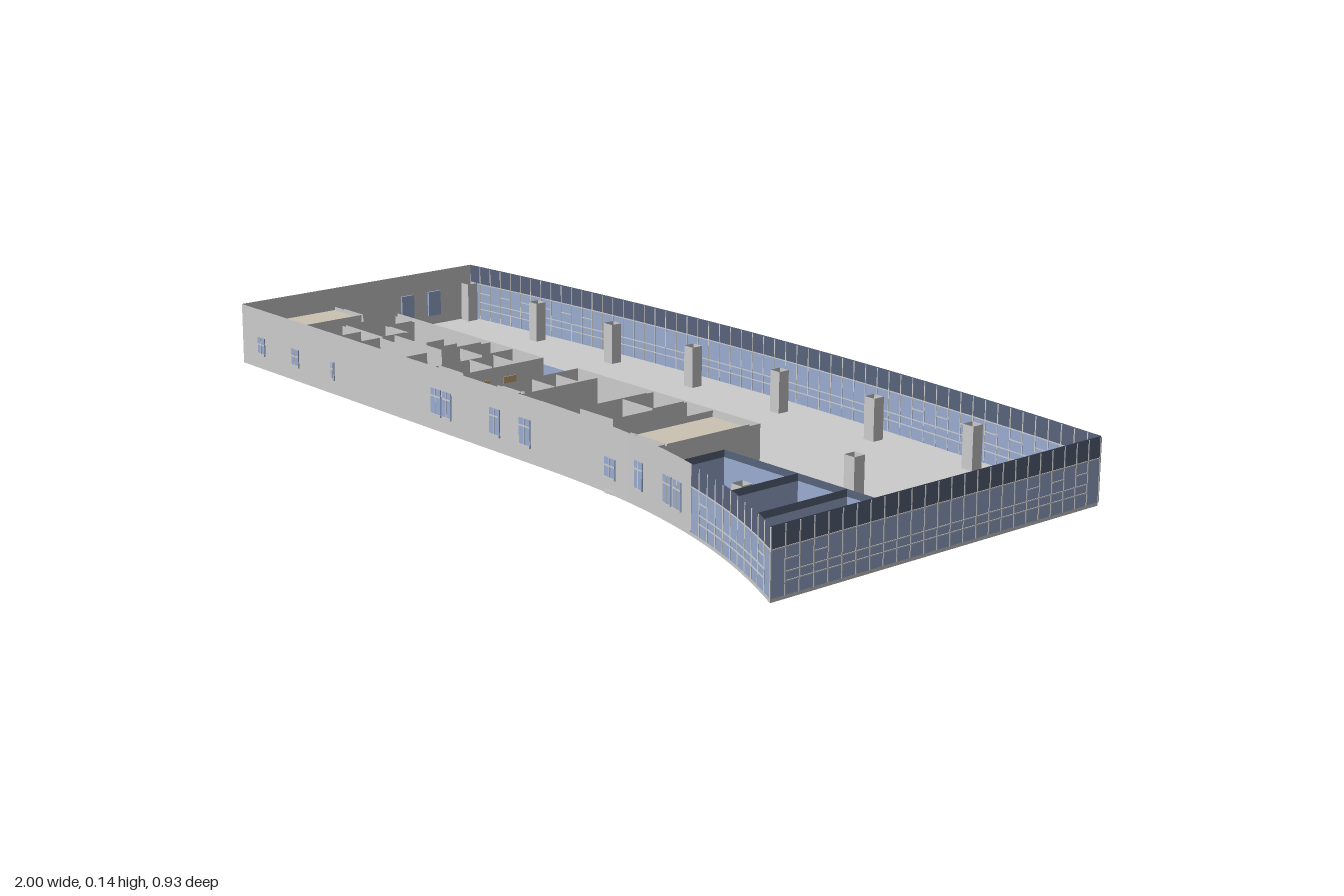
import * as THREE from 'three';
import { mergeGeometries } from 'three/addons/utils/BufferGeometryUtils.js';

const mat = (color) => new THREE.MeshStandardMaterial({ color, side: THREE.DoubleSide });
const GREY = mat(0xcccccc), GLASS = mat(0x99accf), DARK = mat(0x58637b);
const TAN = mat(0xcbc2b2), PALE = mat(0xeee8e8), WOOD = mat(0xc9a878);
const H = 0.14, INNER = 0.1, FLOOR = 0.007, BAND = 0.096;

// plan curves of the two long sides
const backZ = (x) => -0.47 + 0.056 * x * x;
const frontZ = (x) => 0.25 + 0.205 * Math.pow(Math.max(0, (x - 0.1) / 0.9), 2.3);
const along = (x0, x1, n, f) =>
  Array.from({ length: n + 1 }, (_, i) => x0 + (x1 - x0) * i / n).map((x) => [x, f(x)]);

export function createModel() {
  const root = new THREE.Group();
  const add = (name, geo, material) => {
    const m = new THREE.Mesh(geo, material);
    m.name = name;
    root.add(m);
    return m;
  };
  const box = (x0, x1, y0, y1, z0, z1) =>
    new THREE.BoxGeometry(x1 - x0, y1 - y0, z1 - z0).translate((x0 + x1) / 2, (y0 + y1) / 2, (z0 + z1) / 2);

  // upright sheet following a plan path
  const ribbon = (pts, y0, y1) => {
    const p = [];
    for (let i = 0; i + 1 < pts.length; i++) {
      const [ax, az] = pts[i], [bx, bz] = pts[i + 1];
      p.push(ax, y0, az, bx, y0, bz, bx, y1, bz, ax, y0, az, bx, y1, bz, ax, y1, az);
    }
    const g = new THREE.BufferGeometry();
    g.setAttribute('position', new THREE.Float32BufferAttribute(p, 3));
    g.computeVertexNormals();
    return g;
  };
  const wall = (name, pts, y0, y1, m = GREY) => add(name, ribbon(pts, y0, y1), m);

  // bar lying along one plan segment
  const bar = (a, b, y, h, d) => {
    const dx = b[0] - a[0], dz = b[1] - a[1];
    return new THREE.BoxGeometry(Math.hypot(dx, dz), h, d)
      .rotateY(-Math.atan2(dz, dx)).translate((a[0] + b[0]) / 2, y, (a[1] + b[1]) / 2);
  };

  // horizontal slab from a plan outline
  const slab = (name, pts, y, h, m, holes = []) => {
    const shape = new THREE.Shape(pts.map(([x, z]) => new THREE.Vector2(x, -z)));
    for (const [x, z, r] of holes) {
      shape.holes.push(new THREE.Path([[-r, -r], [-r, r], [r, r], [r, -r]]
        .map(([a, b]) => new THREE.Vector2(x + a, -z + b))));
    }
    const g = new THREE.ExtrudeGeometry(shape, { depth: h, bevelEnabled: false });
    return add(name, g.rotateX(-Math.PI / 2).translate(0, y, 0), m);
  };

  // hollow columns, open at the top
  const cols = [-0.98, -0.71, -0.43, -0.15, 0.13, 0.415, 0.69, 0.975].map((x) => [x, -0.395, 0.014]);
  for (const [x, z] of [[0.69, -0.06], [0.975, -0.06], [0.69, 0.235], [0.975, 0.235], [0.975, 0.415]]) {
    cols.push([x, z, 0.014]);
  }
  for (const [x, z, r] of cols) {
    wall('column', [[x - r, z - r], [x + r, z - r], [x + r, z + r], [x - r, z + r], [x - r, z - r]], 0, INNER);
  }

  // open-plan floor
  slab('mainFloor', [...along(-1, 1, 36, backZ), ...along(1, 0.415, 16, frontZ), [0.415, -0.07], [-1, -0.07]],
    0, FLOOR, GREY, cols);

  // glazed facade: glass, dark top band, mullions and window rails
  const facade = (name, pts) => {
    wall(name + 'Glass', pts, FLOOR, BAND, GLASS);
    wall(name + 'TopBand', pts, BAND, H, DARK);
    const frame = [];
    const n = pts.length - 1;
    pts.forEach(([x, z], i) => {
      frame.push(box(x - 0.0012, x + 0.0012, FLOOR, H - 0.002, z - 0.0012, z + 0.0012));
      if (i === n) return;
      const next = pts[i + 1];
      frame.push(bar(pts[i], next, BAND, 0.002, 0.003));
      if (i > 0 && i < n - 1) {
        frame.push(bar(pts[i], next, 0.033, 0.002, 0.003), bar(pts[i], next, 0.05, 0.002, 0.003));
      }
      if (i % 2 && (i < n * 0.2 || i > n * 0.7)) frame.push(bar(pts[i], next, 0.073, 0.002, 0.003));
    });
    add(name + 'Frame', mergeGeometries(frame), GREY);
  };
  facade('backFacade', along(-1, 1, 56, backZ));
  facade('sideFacade', Array.from({ length: 26 }, (_, i) => [1, 0.455 - i * (0.869 / 25)]));
  facade('frontFacade', along(0.635, 1, 11, frontZ));

  // solid outer walls
  wall('leftWall', [[-1, backZ(-1)], [-1, 0.25]], 0, H);
  wall('frontWall', [[-1, 0.25], ...along(0.1, 0.635, 16, frontZ)], 0, H);
  wall('frontWallLining', [[-0.99, 0.236], [0.41, 0.236]], 0, INNER);
  for (const z of [-0.3, -0.22]) {
    add('leftWindow', box(-1.0015, -0.995, 0.03, 0.09, z - 0.018, z + 0.018), GLASS);
  }

  // front windows: x, width, bottom, top
  const windows = [[-0.92, 0.028, 0.036, 0.074], [-0.78, 0.028, 0.036, 0.074], [-0.63, 0.012, 0.036, 0.074],
    [-0.243, 0.035, 0.036, 0.092], [-0.205, 0.03, 0.036, 0.092], [-0.04, 0.034, 0.036, 0.092],
    [0.06, 0.036, 0.036, 0.092], [0.34, 0.036, 0.034, 0.074], [0.44, 0.028, 0.036, 0.092],
    [0.545, 0.03, 0.036, 0.092], [0.583, 0.03, 0.036, 0.092]];
  for (const [x, w, y0, y1] of windows) {
    const a = [x - w / 2, frontZ(x - w / 2)], b = [x + w / 2, frontZ(x + w / 2)];
    add('frontWindow', bar(a, b, (y0 + y1) / 2, y1 - y0, 0.005), GLASS);
    const parts = [bar(a, b, y0, 0.002, 0.008), bar(a, b, y1 - 0.016, 0.003, 0.007)];
    parts.push(box(x - 0.001, x + 0.001, y0, y1, frontZ(x) - 0.0035, frontZ(x) + 0.0035));
    add('frontWindowFrame', mergeGeometries(parts), GREY);
    if (x < 0.41) add('windowSill', box(a[0], b[0], y0 - 0.004, y0, 0.234, frontZ(x) + 0.004), GREY);
  }

  // core enclosure facing the open plan
  wall('coreWall', [[-0.83, -0.07], [-0.28, -0.07]], 0, INNER);
  wall('coreWall', [[-0.16, -0.07], [0.415, -0.07], [0.415, frontZ(0.415)]], 0, INNER);
  wall('lobbyGlass', [[-0.28, -0.07], [-0.16, -0.07]], FLOOR, 0.085, GLASS);

  // rooms of the core: floor outline plus surrounding walls, skipping the listed sides
  const rect = (x0, x1, z0, z1) => [[x0, z0], [x1, z0], [x1, z1], [x0, z1]];
  const room = (name, pts, open = [], m = GREY) => {
    slab(name + 'Floor', pts, 0, FLOOR, m);
    pts.forEach((p, i) => {
      if (!open.includes(i)) wall(name + 'Wall', [p, pts[(i + 1) % pts.length]], 0, INNER);
    });
  };
  room('leftLobby', rect(-0.95, -0.87, -0.065, 0.0), [0]);
  room('upperWashroom', [[-0.735, -0.05], [-0.48, -0.05], [-0.48, 0.06], [-0.66, 0.06], [-0.66, 0.02], [-0.735, 0.02]], [], PALE);
  room('sideWashroom', [[-0.81, -0.05], [-0.745, -0.05], [-0.745, 0.025], [-0.665, 0.025], [-0.665, 0.09], [-0.81, 0.09]], [], PALE);
  room('lowerWashroom', [[-0.81, 0.1], [-0.735, 0.1], [-0.735, 0.17], [-0.66, 0.17], [-0.66, 0.1],
    [-0.48, 0.1], [-0.48, 0.23], [-0.81, 0.23]], [], PALE);
  room('closet', rect(-0.465, -0.385, -0.065, 0.02), [0]);
  room('liftLobby', [[-0.28, -0.07], [-0.16, -0.07], [-0.16, 0.15], [-0.08, 0.15], [-0.08, 0.235],
    [-0.37, 0.235], [-0.37, 0.15], [-0.28, 0.15]], [0]);
  room('meetingRoom', rect(-0.07, 0.09, -0.05, 0.235));
  room('serviceRoom', [[0.2, -0.065], [0.28, -0.065], [0.28, 0.235], [0.095, 0.235], [0.095, 0.135], [0.2, 0.135]], [0]);
  room('serviceCloset', rect(0.095, 0.19, -0.065, 0.02), [0]);
  room('stairLobby', rect(0.32, 0.405, 0.175, 0.25), [2]);
  slab('stairLobbyRecess', rect(0.325, 0.355, 0.25, 0.262), 0, FLOOR, GREY);

  // washroom partitions
  for (const x of [-0.62, -0.57, -0.52]) {
    wall('cubicleWall', [[x, -0.05], [x, 0.0]], FLOOR, 0.08);
    wall('cubicleWall', [[x, 0.18], [x, 0.23]], FLOOR, 0.08);
  }

  // lift shafts and doors on both sides of the lobby
  for (const s of [-1, 1]) {
    const x = (d) => -0.22 + s * d;
    wall('liftShaft', [[x(0.07), 0], [x(0.15), 0], [x(0.15), 0.145], [x(0.07), 0.145]], 0, INNER);
    wall('liftShaftDivider', [[x(0.07), 0.065], [x(0.15), 0.065]], 0, INNER);
    for (const z of [0.025, 0.1]) {
      add('liftDoor', box(x(0.064) - 0.006, x(0.064) + 0.006, FLOOR, 0.075, z - 0.018, z + 0.018), WOOD);
    }
  }
  for (const x of [0.14, 0.24]) add('serviceDoor', box(x - 0.018, x + 0.018, FLOOR, 0.07, 0.017, 0.027), WOOD);

  // stairwells: two flights below a raised landing
  for (const [x0, x1, z0, z1] of [[-0.98, -0.87, 0.005, 0.23], [0.295, 0.405, -0.05, 0.17]]) {
    wall('stairwellWall', [...rect(x0, x1, z0, z1), [x0, z0]], 0, INNER);
    slab('stairLanding', rect(x0, x1, z0, z1), 0.088, 0.004, TAN);
    const steps = [];
    const mid = (x0 + x1) / 2, n = 10, run = (z1 - z0 - 0.08) / n;
    for (let i = 0; i < n; i++) {
      const y = 0.004 * (i + 1), za = z0 + 0.04 + i * run, zb = z1 - 0.04 - i * run;
      steps.push(box(x0 + 0.004, mid - 0.004, y, y + 0.004, za, za + run));
      steps.push(box(mid + 0.004, x1 - 0.004, y + 0.042, y + 0.046, zb - run, zb));
    }
    steps.push(box(x0 + 0.004, x1 - 0.004, 0.042, 0.046, z1 - 0.04, z1));
    add('stairFlights', mergeGeometries(steps), GREY);
  }

  // glass meeting rooms in the front left corner
  const partitions = [[[0.505, frontZ(0.505) - 0.004], [0.505, 0.11], [0.998, 0.11]],
    [[0.71, 0.11], [0.71, frontZ(0.71)]], [[0.84, 0.11], [0.84, frontZ(0.84)]]];
  for (const path of partitions) {
    wall('glassPartition', path, FLOOR, 0.085, GLASS);
    wall('partitionHead', path, 0.085, INNER, DARK);
  }
  return root;
}
